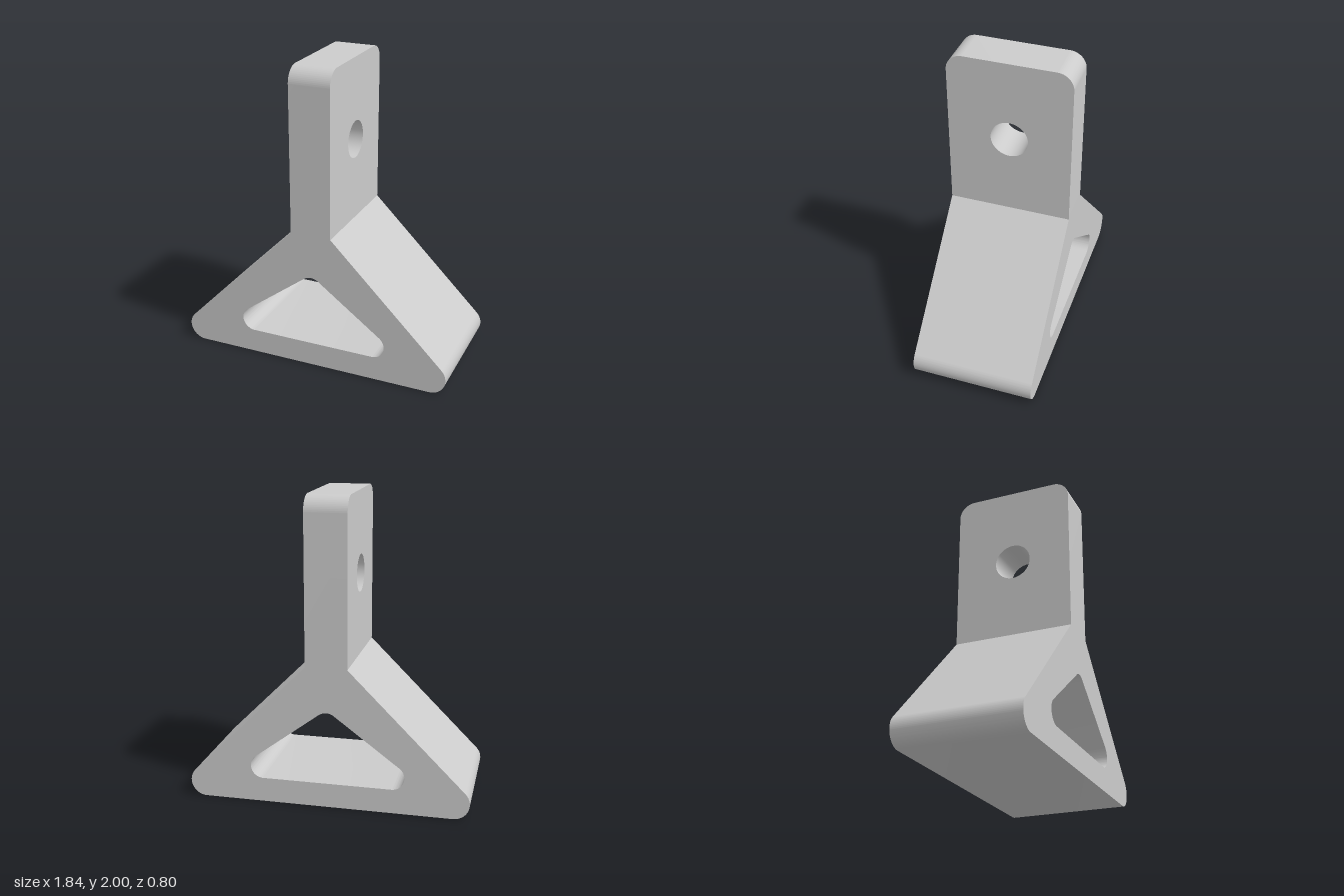
import * as THREE from 'three';
import { toCreasedNormals } from 'three/addons/utils/BufferGeometryUtils.js';

const SEAM = 0.93;        // height where the plate meets the base
const HALF_PLATE = 0.136; // half thickness of the plate
const HALF_DEPTH = 0.4;   // half depth along z
const rad = THREE.MathUtils.degToRad;

// Extrude symmetrically about the shape's plane, without the hidden wall at the seam
function extrudeCentred(shape, depth) {
  const geo = new THREE.ExtrudeGeometry(shape, { depth, bevelEnabled: false, curveSegments: 24 });
  geo.translate(0, 0, -depth / 2);
  const p = geo.attributes.position;
  const kept = [];
  for (let i = 0; i < p.count; i += 3) {
    const corners = [i, i + 1, i + 2];
    if (corners.every((k) => Math.abs(p.getY(k) - SEAM) < 1e-5)) continue;
    for (const k of corners) kept.push(p.getX(k), p.getY(k), p.getZ(k));
  }
  const open = new THREE.BufferGeometry();
  open.setAttribute('position', new THREE.Float32BufferAttribute(kept, 3));
  return toCreasedNormals(open, 0.5);
}

export function createModel() {
  const group = new THREE.Group();
  const material = new THREE.MeshStandardMaterial({ color: 0xcccccc });

  // Triangular base with rounded feet
  const footX = 0.814, footR = 0.104;
  const base = new THREE.Shape();
  base.absarc(footX, footR, footR, rad(-90), rad(45), false);
  base.lineTo(HALF_PLATE, SEAM);
  base.lineTo(-HALF_PLATE, SEAM);
  base.absarc(-footX, footR, footR, rad(135), rad(270), false);
  base.closePath();

  // Rounded triangular window
  const winX = 0.422, winR = 0.082, lowY = 0.243, highY = 0.557;
  const slope = Math.atan2(winX, highY - lowY);
  const win = new THREE.Path();
  win.absarc(winX, lowY, winR, -Math.PI / 2, slope, false);
  win.absarc(0, highY, winR, slope, Math.PI - slope, false);
  win.absarc(-winX, lowY, winR, Math.PI - slope, Math.PI * 1.5, false);
  win.closePath();
  base.holes.push(win);

  const baseMesh = new THREE.Mesh(extrudeCentred(base, HALF_DEPTH * 2), material);
  baseMesh.name = 'triangularBase';

  // Upright plate with rounded top corners and a bolt hole, drawn in z and y
  const r = 0.105;
  const plate = new THREE.Shape();
  plate.moveTo(-HALF_DEPTH, SEAM);
  plate.lineTo(HALF_DEPTH, SEAM);
  plate.absarc(HALF_DEPTH - r, 2 - r, r, 0, rad(90), false);
  plate.absarc(-HALF_DEPTH + r, 2 - r, r, rad(90), rad(180), false);
  plate.closePath();
  const bolt = new THREE.Path();
  bolt.absarc(0, 1.465, 0.122, 0, Math.PI * 2, false);
  plate.holes.push(bolt);

  const plateMesh = new THREE.Mesh(extrudeCentred(plate, HALF_PLATE * 2), material);
  plateMesh.rotation.y = Math.PI / 2;
  plateMesh.name = 'uprightPlate';

  group.add(baseMesh, plateMesh);
  return group;
}
